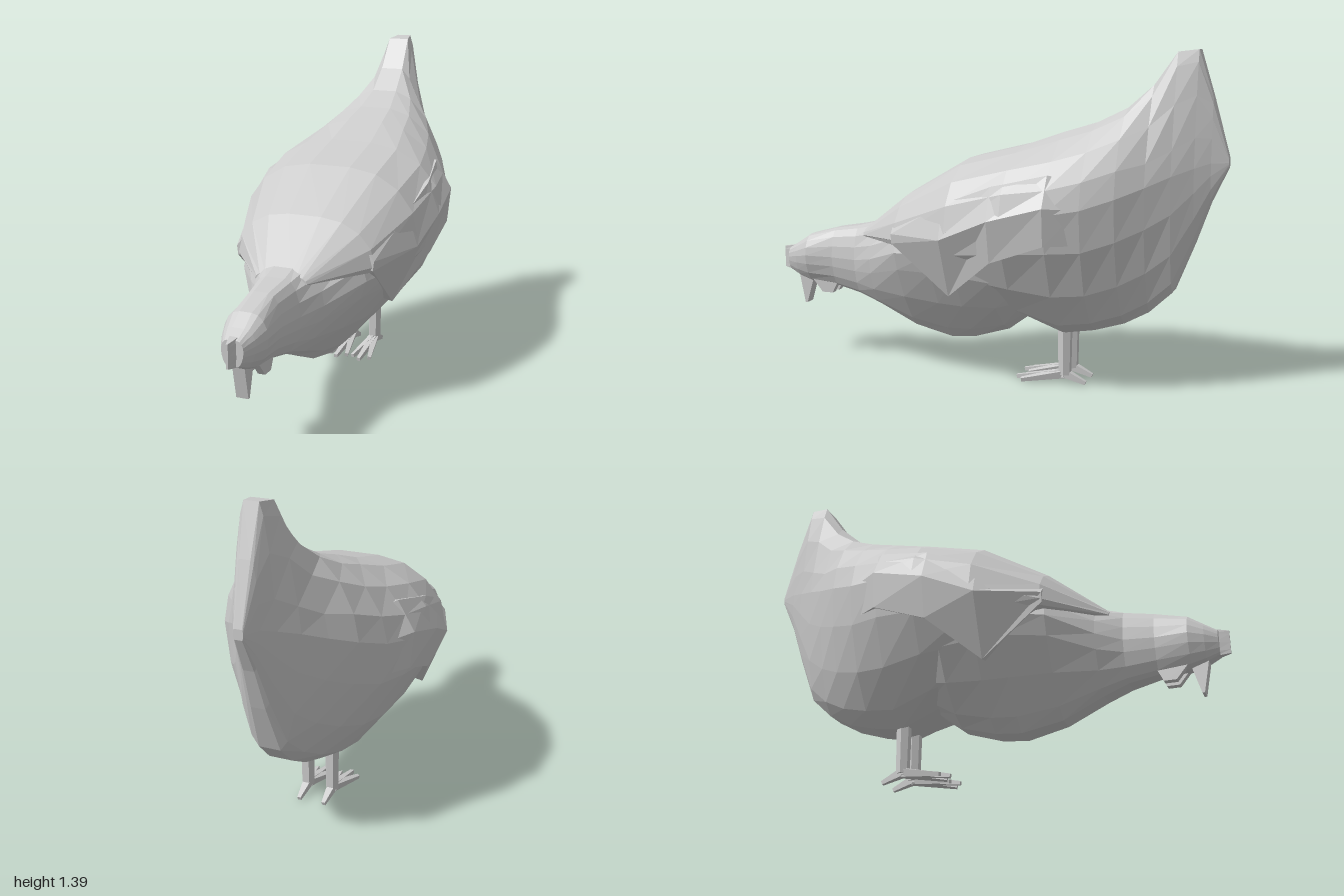
import * as THREE from 'three';

const material = new THREE.MeshStandardMaterial({ color: 0xcccccc, flatShading: true });

function add(parent, name, geometry) {
  const mesh = new THREE.Mesh(geometry, material);
  mesh.name = name;
  parent.add(mesh);
  return mesh;
}

// Skin a list of rings (front to back, each clockwise seen from the front) and cap the ends.
function loft(rings) {
  const n = rings[0].length, last = (rings.length - 1) * n, index = [];
  for (let i = 0; i < rings.length - 1; i++) {
    for (let j = 0; j < n; j++) {
      const a = i * n + j, b = i * n + (j + 1) % n;
      index.push(a, b, a + n, b, b + n, a + n);
    }
  }
  for (let j = 1; j < n - 1; j++) {
    index.push(0, j + 1, j, last, last + j, last + j + 1);
  }
  const geometry = new THREE.BufferGeometry();
  geometry.setAttribute('position', new THREE.Float32BufferAttribute(rings.flat(2), 3));
  geometry.setIndex(index);
  const flat = geometry.toNonIndexed();
  flat.computeVertexNormals();
  return flat;
}

// Cross-section: crown is the half width of the flat top and bottom,
// power 1 gives round flanks and 2 gives straight slopes.
function section([z, top, bottom, width, midY, crown, upper = 1, lower = 1.2], steps = 8) {
  const half = [];
  for (let i = 0; i <= steps; i++) {
    const t = Math.PI * i / steps;
    const power = i <= steps / 2 ? upper : lower;
    const x = crown + (width - crown) * Math.max(0, Math.sin(t)) ** power;
    const reach = Math.abs(Math.cos(t)) ** power;
    const y = midY + (i <= steps / 2 ? top - midY : bottom - midY) * reach;
    half.push([x, y, z]);
  }
  return [...half, ...half.slice().reverse().map(([x, y]) => [-x, y, z])];
}

// Tapered rod between two points.
function rod(from, to, r0, r1, sides = 4) {
  const a = new THREE.Vector3(...from), b = new THREE.Vector3(...to);
  const dir = b.clone().sub(a);
  const geometry = new THREE.CylinderGeometry(r1, r0, dir.length(), sides);
  geometry.rotateY(Math.PI / sides);
  geometry.applyQuaternion(new THREE.Quaternion().setFromUnitVectors(
    new THREE.Vector3(0, 1, 0), dir.normalize()));
  const mid = a.add(b).multiplyScalar(0.5);
  return geometry.translate(mid.x, mid.y, mid.z);
}

// Flat plate of the given width, drawn as a z, y outline and centred on x.
function plate(outline, x, width) {
  const shape = new THREE.Shape(outline.map(([z, y]) => new THREE.Vector2(z, y)));
  return new THREE.ExtrudeGeometry(shape, { depth: width, bevelEnabled: false })
    .rotateY(-Math.PI / 2).translate(x + width / 2, 0, 0);
}

export function createModel() {
  const hen = new THREE.Group();
  hen.name = 'hen';

  // Sections: z, top, bottom, half width, height of widest point, crown, upper power, lower power
  const headAndBreast = [
    [0.96, 0.49, 0.39, 0.045, 0.45, 0.02],
    [0.91, 0.52, 0.365, 0.07, 0.46, 0.025],
    [0.85, 0.56, 0.345, 0.09, 0.47, 0.025],
    [0.72, 0.595, 0.335, 0.085, 0.47, 0.03],
    [0.60, 0.615, 0.31, 0.105, 0.47, 0.04],
    [0.50, 0.64, 0.27, 0.16, 0.49, 0.04, 1, 1.3],
    [0.33, 0.70, 0.19, 0.27, 0.55, 0.04, 1, 1.6],
    [0.16, 0.72, 0.155, 0.325, 0.56, 0.05, 1, 1.7],
    [0.05, 0.72, 0.165, 0.335, 0.56, 0.05, 1, 1.6],
    [-0.10, 0.70, 0.21, 0.335, 0.55, 0.04, 1, 1.4],
    [-0.22, 0.65, 0.30, 0.27, 0.51, 0.03],
  ];
  add(hen, 'headNeckAndBreast', loft(headAndBreast.map((s) => section(s))));

  const backAndTail = [
    [0.55, 0.615, 0.57, 0.11, 0.585, 0.04],
    [0.32, 0.79, 0.56, 0.30, 0.61, 0.07, 1, 0.8],
    [0.06, 0.94, 0.37, 0.39, 0.67, 0.09, 1, 1.2],
    [-0.18, 1.00, 0.29, 0.415, 0.74, 0.09, 1.05],
    [-0.35, 1.06, 0.225, 0.395, 0.76, 0.08, 1.2, 1.3],
    [-0.48, 1.10, 0.245, 0.345, 0.78, 0.07, 1.15],
    [-0.60, 1.16, 0.28, 0.28, 0.82, 0.055, 1.2],
    [-0.70, 1.25, 0.335, 0.205, 0.86, 0.05, 1.5],
    [-0.79, 1.38, 0.42, 0.14, 0.90, 0.045, 1.6],
    [-0.87, 1.39, 0.62, 0.085, 0.93, 0.03, 1.4],
    [-0.93, 1.20, 0.79, 0.05, 0.95, 0.022],
    [-0.995, 0.97, 0.93, 0.02, 0.95, 0.015],
  ];
  add(hen, 'backAndTail', loft(backAndTail.map((s) => section(s))));

  // Folded wings: z, then upper, middle and lower edge as x, y
  const wing = [
    [0.33, 0.255, 0.69, 0.30, 0.635, 0.295, 0.595],
    [0.08, 0.35, 0.78, 0.395, 0.64, 0.29, 0.39],
    [-0.13, 0.37, 0.86, 0.42, 0.73, 0.385, 0.56],
    [-0.35, 0.335, 0.91, 0.405, 0.79, 0.39, 0.64],
    [-0.47, 0.27, 0.89, 0.335, 0.78, 0.32, 0.64],
  ];
  for (const side of [1, -1]) {
    const rings = wing.map(([z, ux, uy, mx, my, lx, ly]) => {
      const ring = [[ux - 0.04, uy, z], [ux, uy, z], [mx, my, z], [lx, ly, z], [lx - 0.09, ly + 0.02, z]];
      return side > 0 ? ring : ring.map(([x, y]) => [-x, y, z]).reverse();
    });
    add(hen, side > 0 ? 'leftWing' : 'rightWing', loft(rings));
  }

  // Comb, beak and wattles
  add(hen, 'comb', loft([
    section([1.0, 0.49, 0.395, 0.004, 0.44, 0.004], 4),
    section([0.94, 0.50, 0.385, 0.022, 0.44, 0.018], 4),
  ]));
  add(hen, 'beak', plate([[0.92, 0.39], [0.85, 0.38], [0.85, 0.34], [0.88, 0.24], [0.89, 0.24]], 0, 0.05));
  for (const x of [0.03, -0.03]) {
    add(hen, 'wattle', plate([[0.84, 0.36], [0.71, 0.36], [0.74, 0.3], [0.79, 0.3]], x, 0.03));
  }

  // Legs with three front toes and one back toe
  for (const side of [1, -1]) {
    const leg = new THREE.Group();
    leg.name = side > 0 ? 'leftLeg' : 'rightLeg';
    const x = 0.055 * side;
    add(leg, 'shank', rod([x, 0.04, -0.35], [x, 0.32, -0.35], 0.028, 0.032, 6));
    const toes = [[-0.04, -0.17], [0, -0.14], [0.04, -0.17], [0, -0.44]];
    for (const [dx, z] of toes) {
      add(leg, 'toe', rod([x, 0.045, -0.35], [x + dx, 0.01, z], 0.024, 0.011));
    }
    hen.add(leg);
  }

  return hen;
}
